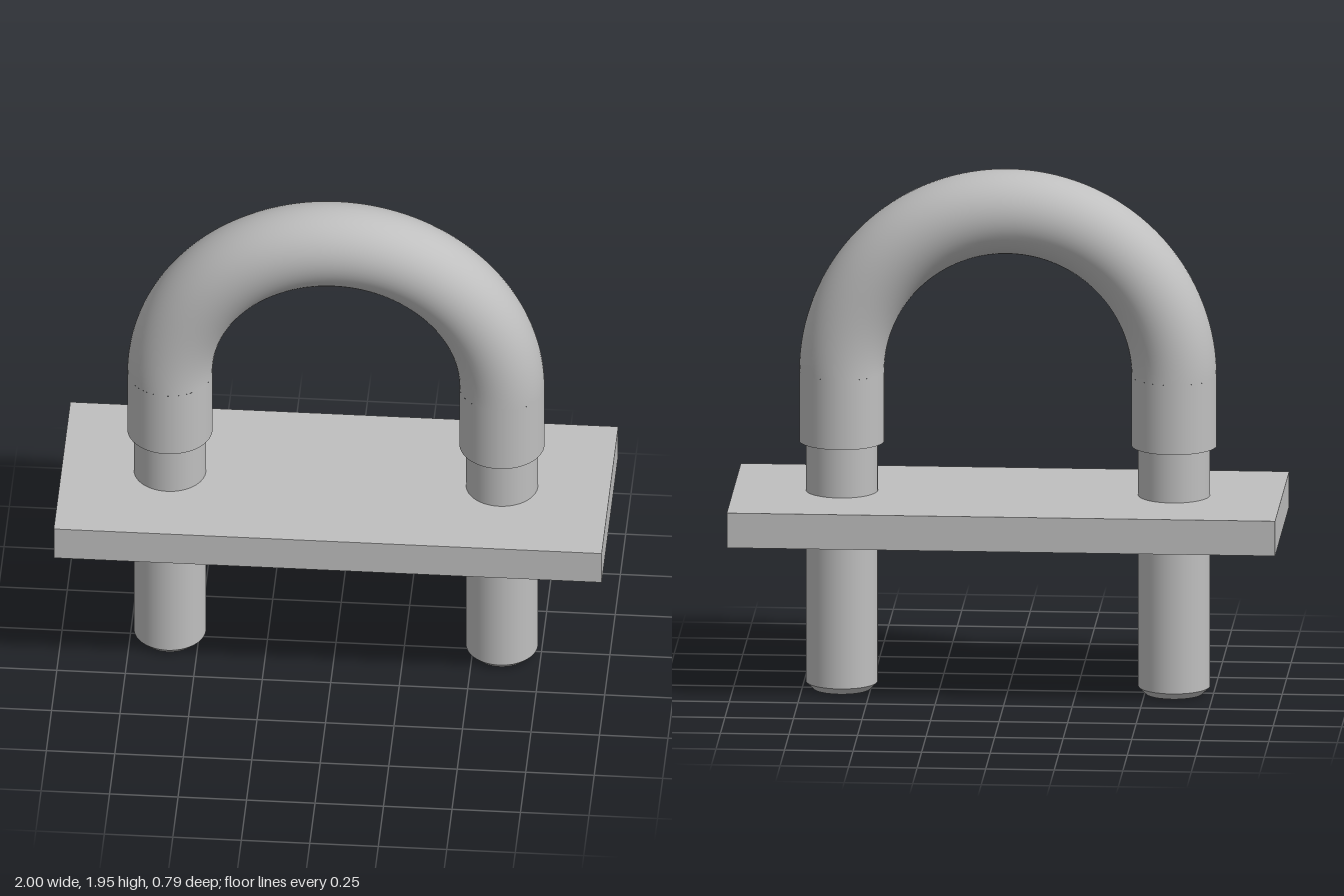
import * as THREE from 'three';

export function createModel() {
  const group = new THREE.Group();
  const steel = new THREE.MeshStandardMaterial({ color: 0xbfbfbf });
  steel.name = 'steel grey';

  const LEG_X = 0.606, ROD_R = 0.131, BOW_R = 0.155;
  const BOW_BASE = 0.925, BEND_Y = 1.185, CHAMFER = 0.026;
  const SIDES = 64;

  function add(parent, name, geometry, x = 0, y = 0, z = 0) {
    const mesh = new THREE.Mesh(geometry, steel);
    mesh.name = name;
    mesh.position.set(x, y, z);
    parent.add(mesh);
    return mesh;
  }

  // Upright cylinder between two heights
  function post(parent, name, rTop, rBottom, y0, y1, open) {
    const geometry = new THREE.CylinderGeometry(rTop, rBottom, y1 - y0, SIDES, 1, open);
    return add(parent, name, geometry, 0, (y0 + y1) / 2);
  }

  // Half-round bend of the thick bow
  add(group, 'bowBend', new THREE.TorusGeometry(LEG_X, BOW_R, 48, 96, Math.PI), 0, BEND_Y);

  // Legs: thick sleeve, shoulder, thinner rod with chamfered tip
  for (const [side, name] of [[1, 'leftLeg'], [-1, 'rightLeg']]) {
    const leg = new THREE.Group();
    leg.name = name;
    leg.position.x = side * LEG_X;
    post(leg, 'bowSleeve', BOW_R, BOW_R, BOW_BASE, BEND_Y, true);
    const shoulder = new THREE.RingGeometry(ROD_R, BOW_R, SIDES).rotateX(Math.PI / 2);
    add(leg, 'shoulder', shoulder, 0, BOW_BASE);
    post(leg, 'rod', ROD_R, ROD_R, CHAMFER, BOW_BASE, true);
    post(leg, 'chamferedTip', ROD_R, ROD_R - CHAMFER, 0, CHAMFER, false);
    group.add(leg);
  }

  // Flat cross plate the rods pass through
  add(group, 'plate', new THREE.BoxGeometry(2, 0.13, 0.79), 0, 0.675);

  return group;
}
